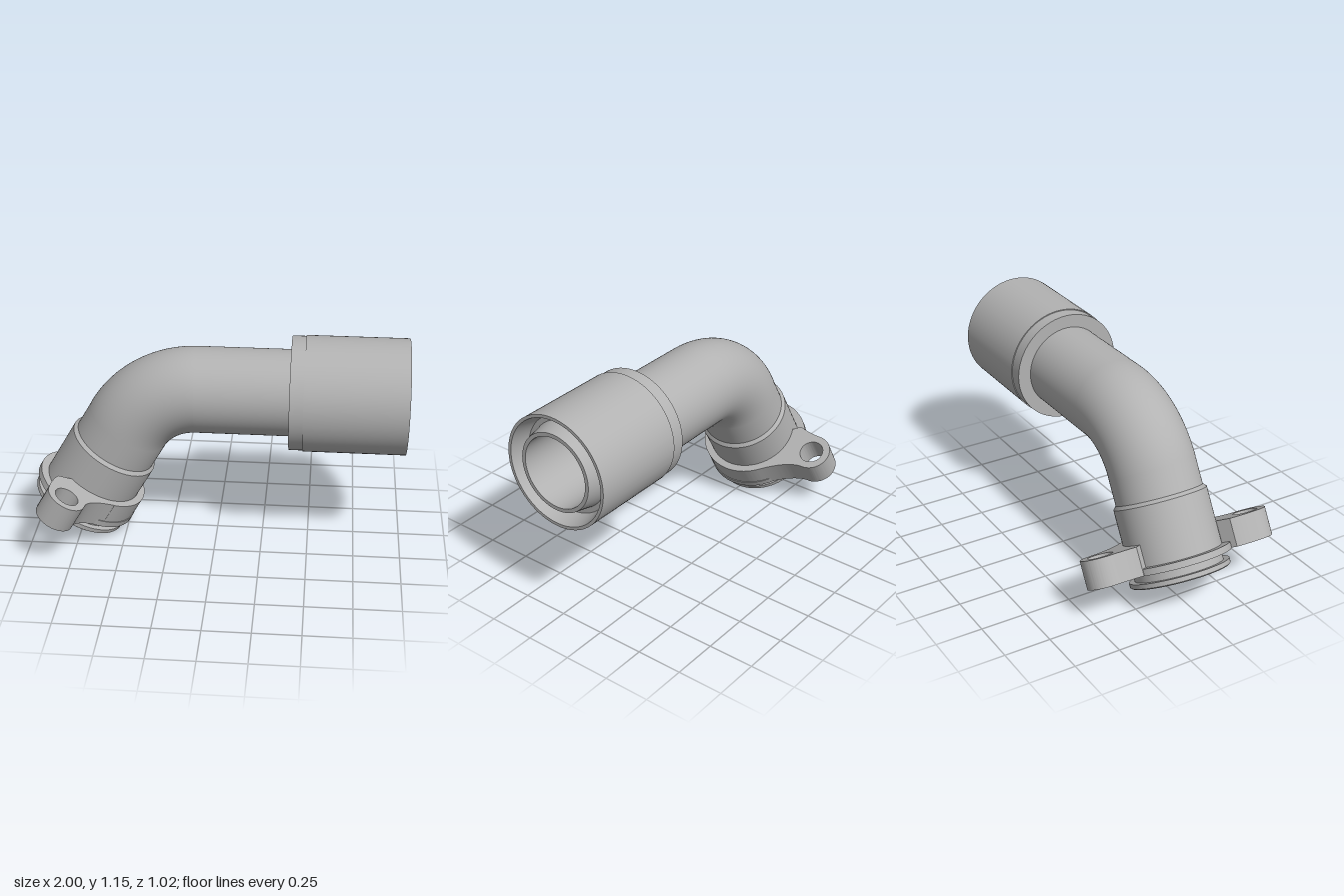
import * as THREE from 'three';
import { toCreasedNormals } from 'three/addons/utils/BufferGeometryUtils.js';

const AXIS_Y = 0.848, AXIS_Z = 0.007;      // centre line of the straight pipe
const OUTER = 0.23, BORE = 0.193;          // pipe radii
const BEND_X = -0.11, BEND_R = 0.43, BEND = Math.PI / 3;

export function createModel() {
  const model = new THREE.Group();
  const metal = new THREE.MeshStandardMaterial({ color: 0xb2b2b2, side: THREE.DoubleSide });
  metal.name = 'grey metal';

  const add = (parent, name, geometry) => {
    const mesh = new THREE.Mesh(geometry, metal);
    mesh.name = name;
    parent.add(mesh);
    return mesh;
  };
  // Turned part from [radius, height] pairs, with sharp corners kept
  const turned = (pairs) => toCreasedNormals(
    new THREE.LatheGeometry(pairs.map(([r, h]) => new THREE.Vector2(r, h)), 80), 0.45);

  // Straight pipe with collar, sleeve and the ring groove in its open end
  const straight = turned([
    [OUTER, BEND_X], [OUTER, 0.387], [0.302, 0.387], [0.302, 0.46], [0.307, 0.46],
    [0.307, 1], [0.29, 1], [0.263, 0.9], [0.235, 0.9], [0.214, 1], [BORE, 1], [BORE, BEND_X],
  ]);
  straight.rotateZ(-Math.PI / 2);
  add(model, 'straightPipeAndSleeve', straight).position.set(0, AXIS_Y, AXIS_Z);

  // Bend: outer wall and bore
  for (const [name, radius] of [['bendOuterWall', OUTER], ['bendBore', BORE]]) {
    const bend = new THREE.TorusGeometry(BEND_R, radius, 80, 40, BEND);
    bend.rotateZ(Math.PI / 2);
    add(model, name, bend).position.set(BEND_X, AXIS_Y - BEND_R, AXIS_Z);
  }

  // Lower end, built upright and tilted to follow the bend
  const lower = new THREE.Group();
  lower.name = 'lowerEnd';
  lower.rotation.z = -Math.PI / 6;
  lower.position.set(-0.77, 0.133, AXIS_Z);
  model.add(lower);
  const top = 0.578;
  add(lower, 'socketAndSealRings', turned([
    [BORE, top], [BORE, 0.04], [0.212, 0.02], [0.212, 0], [0.258, 0], [0.266, 0.006],
    [0.266, 0.03], [0.235, 0.03], [0.235, 0.075], [0.29, 0.075], [0.29, 0.11],
    [0.247, 0.11], [0.247, 0.412], [OUTER, 0.43], [OUTER, top],
  ].reverse()));

  // Mounting flange: half collar with two offset ears (shape y is model -z)
  const earR = 0.106;
  const front = [-0.119, -0.398], back = [0, 0.412];
  const s = new THREE.Shape();
  s.moveTo(-0.1, -0.2);
  s.lineTo(-0.2, -0.25);
  s.quadraticCurveTo(front[0] - earR, -0.31, front[0] - earR, front[1]);
  s.absarc(front[0], front[1], earR, Math.PI, 2 * Math.PI, false);
  s.quadraticCurveTo(-0.01, -0.33, 0.14, -0.248);
  s.absarc(0, 0, 0.286, Math.atan2(-0.248, 0.14), Math.atan2(0.181, 0.22), false);
  s.quadraticCurveTo(earR, 0.318, earR, back[1]);
  s.absarc(back[0], back[1], earR, 0, Math.PI, false);
  s.quadraticCurveTo(-earR, 0.33, -0.125, 0.268);
  s.lineTo(-0.08, 0.215);
  s.absarc(0, 0, 0.225, Math.atan2(0.215, -0.08), Math.atan2(-0.2, -0.1), true);
  for (const [x, y] of [front, back]) {
    const hole = new THREE.Path();
    hole.absarc(x, y, 0.066, 0, 2 * Math.PI, true);
    s.holes.push(hole);
  }
  const flange = new THREE.ExtrudeGeometry(s, { depth: 0.149, bevelEnabled: false, curveSegments: 32 });
  flange.rotateX(-Math.PI / 2);
  add(lower, 'mountingFlange', toCreasedNormals(flange, 0.5)).position.y = 0.077;

  return model;
}
